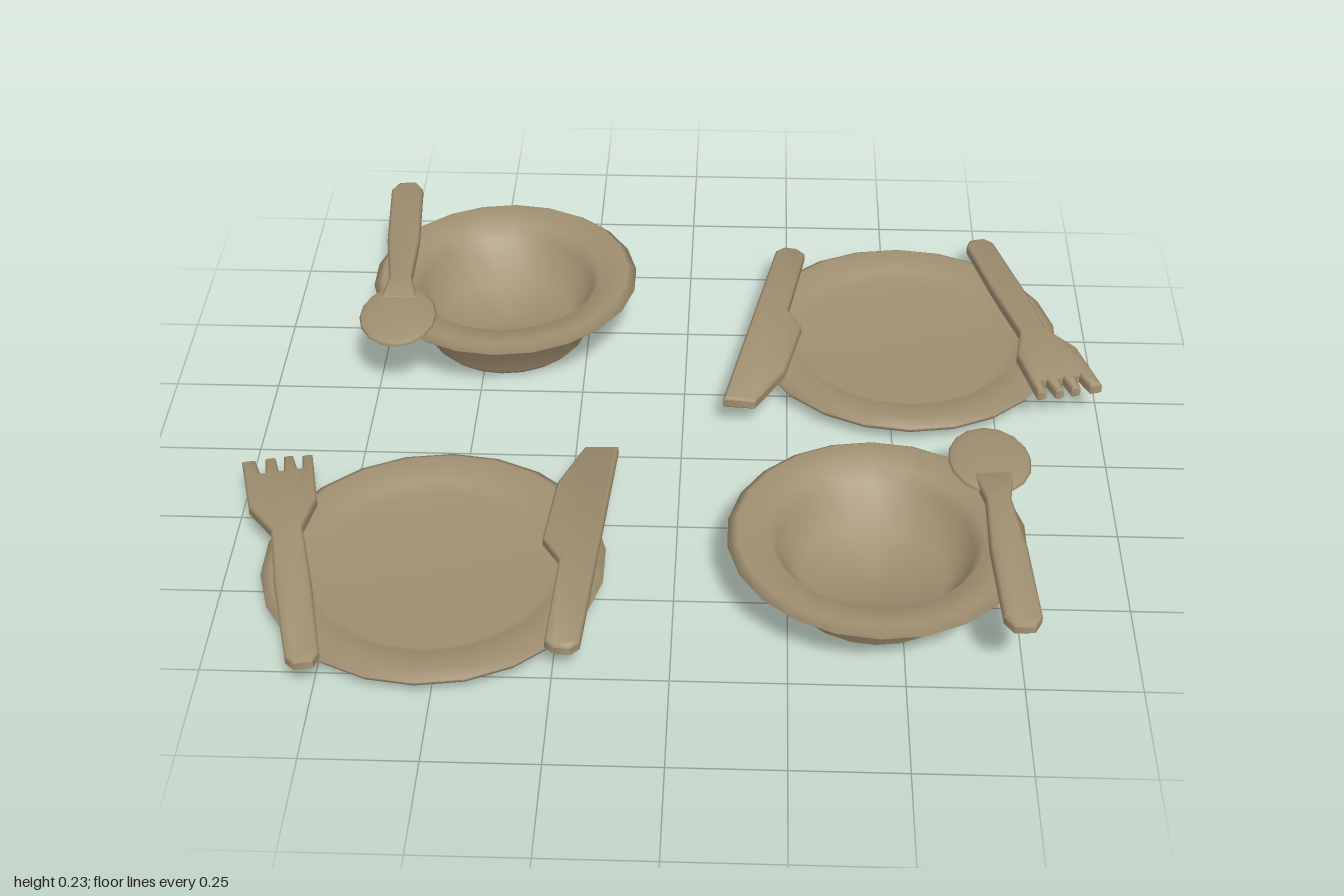
import * as THREE from 'three';
import { toCreasedNormals } from 'three/addons/utils/BufferGeometryUtils.js';

const clay = new THREE.MeshStandardMaterial({ color: 0xa08f70 });
clay.name = 'tan clay';

// Profiles as [radius, height], from the underside centre round the rim to the inner floor
const PLATE = [[0, 0], [0.29, 0], [0.335, 0.03], [0.372, 0.04], [0.38, 0.055], [0.355, 0.07],
  [0.285, 0.055], [0.255, 0.034], [0, 0.03]];
const BOWL = [[0, 0], [0.185, 0], [0.2, 0.015], [0.245, 0.128], [0.31, 0.135], [0.327, 0.15], [0.305, 0.166],
  [0.235, 0.155], [0.215, 0.125], [0.16, 0.04], [0, 0.028]];

// Cutlery outlines as [across, along], from the handle end to the tip
const KNIFE = [[-0.033, 0.02], [-0.015, 0], [0.02, 0], [0.042, 0.018], [0.046, 0.275], [0.092, 0.338],
  [0.086, 0.53], [0.04, 0.664], [-0.037, 0.672]];
const FORK = [[-0.036, 0.025], [-0.02, 0], [0.02, 0], [0.036, 0.025], [0.04, 0.25], [0.033, 0.43], [0.076, 0.52],
  [0.08, 0.685], [0.05, 0.685], [0.042, 0.635], [0.03, 0.635], [0.026, 0.685], [0.004, 0.685], [0, 0.635],
  [-0.012, 0.635], [-0.016, 0.685], [-0.036, 0.685], [-0.042, 0.635], [-0.054, 0.635], [-0.058, 0.68],
  [-0.08, 0.68], [-0.076, 0.52], [-0.036, 0.43], [-0.04, 0.25]];
const SPOON_HANDLE = [[-0.04, 0.03], [-0.022, 0], [0.022, 0], [0.04, 0.03], [0.04, 0.25], [0.028, 0.41],
  [0.045, 0.5], [-0.045, 0.5], [-0.028, 0.41], [-0.04, 0.25]];

function mesh(name, geometry) {
  const m = new THREE.Mesh(geometry, clay);
  m.name = name;
  return m;
}

function dish(name, profile, x, z, yScale = 1) {
  const points = profile.map(([r, y]) => new THREE.Vector2(r, y));
  const m = mesh(name, new THREE.LatheGeometry(points, 22));
  m.position.set(x, 0, z);
  m.scale.y = yScale;
  return m;
}

// Bevelled slab lying flat, handle end at the origin, running along +z
function slab(outline, thickness = 0.03) {
  const bevel = 0.006;
  const shape = new THREE.Shape(outline.map(([u, v]) => new THREE.Vector2(u, v)));
  const g = new THREE.ExtrudeGeometry(shape, {
    depth: thickness - 2 * bevel, bevelSize: bevel, bevelThickness: bevel, bevelOffset: -bevel, bevelSegments: 1,
  });
  g.translate(0, 0, -thickness / 2 + bevel);
  g.rotateX(Math.PI / 2);
  return toCreasedNormals(g, 0.9);
}

// Lay a piece from its handle end towards its tip
function lay(name, parts, from, to) {
  const g = new THREE.Group();
  g.name = name;
  g.add(...parts);
  const dir = new THREE.Vector3(...to).sub(new THREE.Vector3(...from));
  g.position.set(...from);
  g.rotation.order = 'YXZ';
  g.rotation.y = Math.atan2(dir.x, dir.z);
  g.rotation.x = -Math.atan2(dir.y, Math.hypot(dir.x, dir.z));
  return g;
}

function spoon(name, from, to) {
  const head = new THREE.SphereGeometry(1, 16, 10);
  head.scale(0.093, 0.016, 0.118);
  head.translate(0, 0, 0.555);
  return lay(name, [mesh('spoonHandle', slab(SPOON_HANDLE, 0.028)), mesh('spoonHead', head)], from, to);
}
const knife = (name, from, to) => lay(name, [mesh('knifeBody', slab(KNIFE))], from, to);
const fork = (name, from, to) => lay(name, [mesh('forkBody', slab(FORK))], from, to);

export function createModel() {
  const model = new THREE.Group();
  model.name = 'tableware';

  // Plate settings
  model.add(
    dish('frontPlate', PLATE, -0.53, 0.45),
    fork('frontFork', [-0.755, 0.097, 0.83], [-0.92, 0.1, 0.17]),
    knife('frontKnife', [-0.222, 0.088, 0.76], [-0.178, 0.094, 0.085]),
    dish('backPlate', PLATE, 0.54, -0.44),
    fork('backFork', [0.745, 0.077, -0.825], [0.923, 0.092, -0.165]),
    knife('backKnife', [0.257, 0.08, -0.765], [0.13, 0.082, -0.095]),
  );

  // Bowl settings
  model.add(
    dish('frontBowl', BOWL, 0.44, 0.44),
    spoon('frontSpoon', [0.732, 0.188, 0.77], [0.69, 0.187, 0.09]),
    dish('backBowl', BOWL, -0.455, -0.505, 1.08),
    spoon('backSpoon', [-0.738, 0.216, -0.835], [-0.685, 0.19, -0.16]),
  );
  return model;
}
